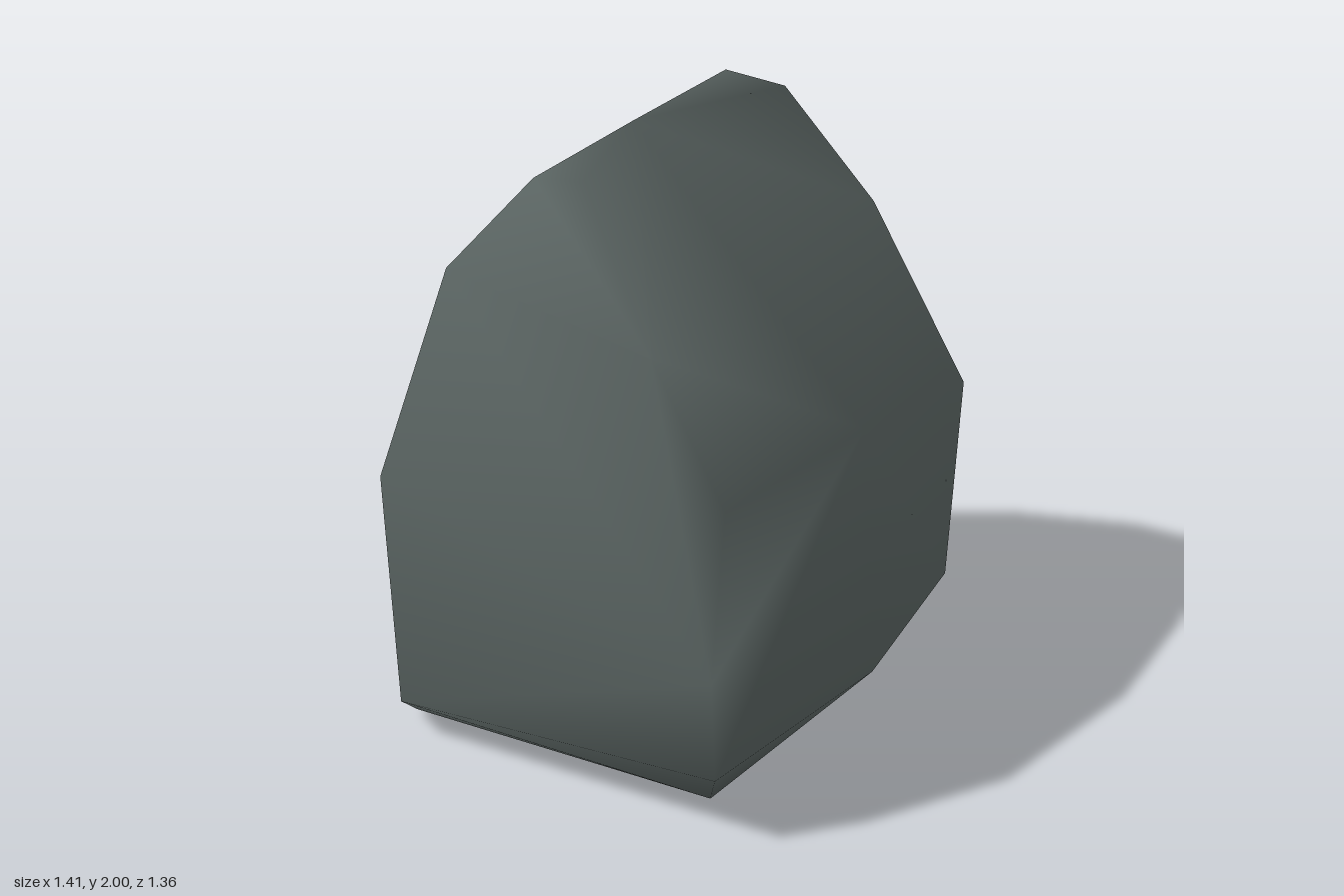
import * as THREE from 'three';
import { ConvexGeometry } from 'three/addons/geometries/ConvexGeometry.js';
import { mergeVertices } from 'three/addons/utils/BufferGeometryUtils.js';

// Corner points of the stone, tier by tier from the ground up
const tiers = [
  // base
  [[0.47, 0.02, 0.42], [-0.54, 0.02, 0.55], [-0.53, 0, -0.43], [0.45, 0.01, -0.51]],
  // lower bevel
  [[0.61, 0.25, 0.61], [-0.49, 0.14, 0.68], [-0.63, 0.2, 0.51], [-0.71, 0.18, 0.32],
    [-0.61, 0.24, -0.6], [-0.49, 0.18, -0.63], [0.53, 0.17, -0.65], [0.64, 0.32, -0.66], [0.65, 0.2, -0.2]],
  // waist
  [[0.62, 0.6, 0.65], [0.62, 1.12, 0.59], [-0.55, 0.89, 0.65], [-0.63, 0.89, 0.4],
    [-0.54, 0.97, -0.6], [-0.14, 1.15, -0.67], [0.5, 1.2, -0.68], [0.66, 1.0, -0.67],
    [0.68, 1.1, -0.52], [0.7, 1.14, 0]],
  // shoulders
  [[0.38, 1.51, 0.59], [-0.3, 1.61, 0.61], [-0.37, 1.61, -0.5], [0.37, 1.56, -0.58]],
  // ridge
  [[0.09, 1.92, 0.5], [-0.05, 1.91, 0.53], [-0.09, 1.91, -0.47], [0.1, 1.89, -0.5], [0.06, 2, 0.22]],
];

export function createModel() {
  const group = new THREE.Group();
  group.name = 'boulder';

  const slate = new THREE.MeshStandardMaterial({ color: 0x5a6462 });
  slate.name = 'slate grey';

  // Wrap the corners in a hull, then weld it so the shading runs smoothly over the edges
  const points = tiers.flat().map((p) => new THREE.Vector3(...p));
  const hull = new ConvexGeometry(points);
  hull.deleteAttribute('normal');
  const geometry = mergeVertices(hull, 1e-4);
  geometry.computeVertexNormals();

  const stone = new THREE.Mesh(geometry, slate);
  stone.name = 'stone';
  group.add(stone);
  return group;
}
